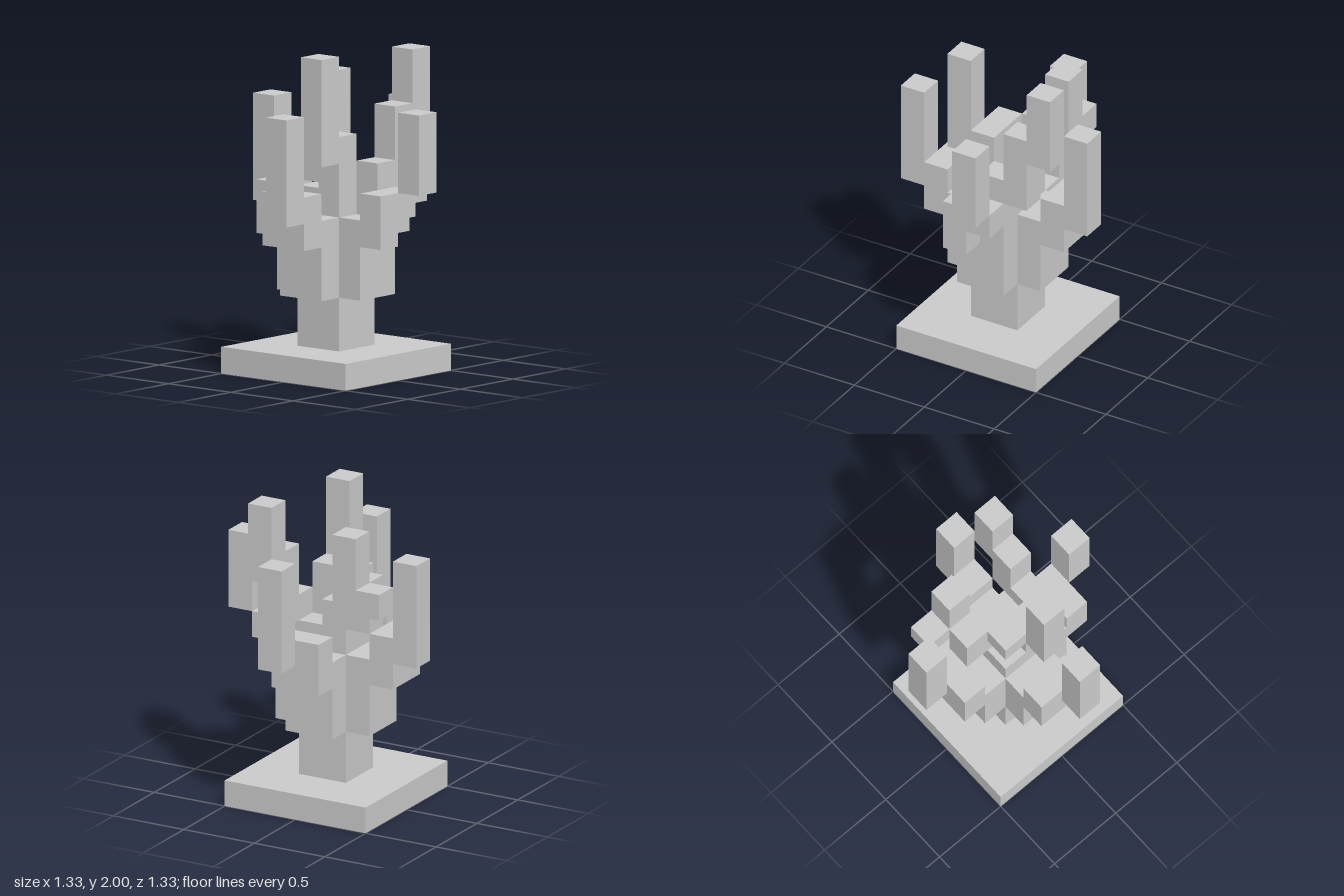
import * as THREE from 'three';

const U = 1 / 6; // edge of one cube

export function createModel() {
  const model = new THREE.Group();
  const material = new THREE.MeshStandardMaterial({ color: 0xcccccc, flatShading: true });

  // Each box is [x0, x1, y0, y1, z0, z1], counted in cubes.
  function part(name, ...boxes) {
    const group = new THREE.Group();
    group.name = name;
    boxes.forEach(([x0, x1, y0, y1, z0, z1], i) => {
      const geometry = new THREE.BoxGeometry((x1 - x0) * U, (y1 - y0) * U, (z1 - z0) * U);
      const mesh = new THREE.Mesh(geometry, material);
      mesh.position.set((x0 + x1) * U / 2, (y0 + y1) * U / 2, (z0 + z1) * U / 2);
      mesh.name = `${name}Block${i + 1}`;
      group.add(mesh);
    });
    model.add(group);
  }

  part('base', [-3, 3, 0, 1, -3, 3]);
  part('trunk', [-1, 1, 1, 7, -1, 1]);

  // Lower branches: root, elbow, upright tip
  part('frontBranch', [-1, 1, 3, 6, 1, 2], [-1, 1, 5, 7, 2, 3], [0, 1, 6, 10, 3, 4]);
  part('backBranch', [-1, 1, 3, 6, -2, -1], [-1, 1, 5, 7, -3, -2], [0, 1, 6, 10, -4, -3]);
  part('rightBranch', [-2, -1, 3, 6, -1, 1], [-3, -2, 5, 7, -1, 1], [-4, -3, 6, 10, -1, 0]);
  part('leftBranch', [1, 2, 3, 6, -1, 1], [2, 3, 5, 7, 0, 1], [2, 3, 6, 7, -1, 0],
    [3, 4, 7, 10, -1, 0]);

  // Upper branches growing from the top of the trunk
  part('upperFrontBranch', [0, 1, 7, 9, 0, 1], [-1, 0, 8, 9, 0, 1], [0, 1, 8, 12, 1, 2]);
  part('upperLeftBranch', [1, 2, 6, 8, -1, 0], [1, 2, 7, 10, -2, -1], [1, 2, 9, 12, -3, -2]);
  part('upperRightBranch', [-1, 0, 7, 8, -1, 0], [-2, -1, 7, 9, -1, 0],
    [-2, -1, 8, 11, -2, -1], [-3, -2, 8, 9, -2, -1]);

  return model;
}
